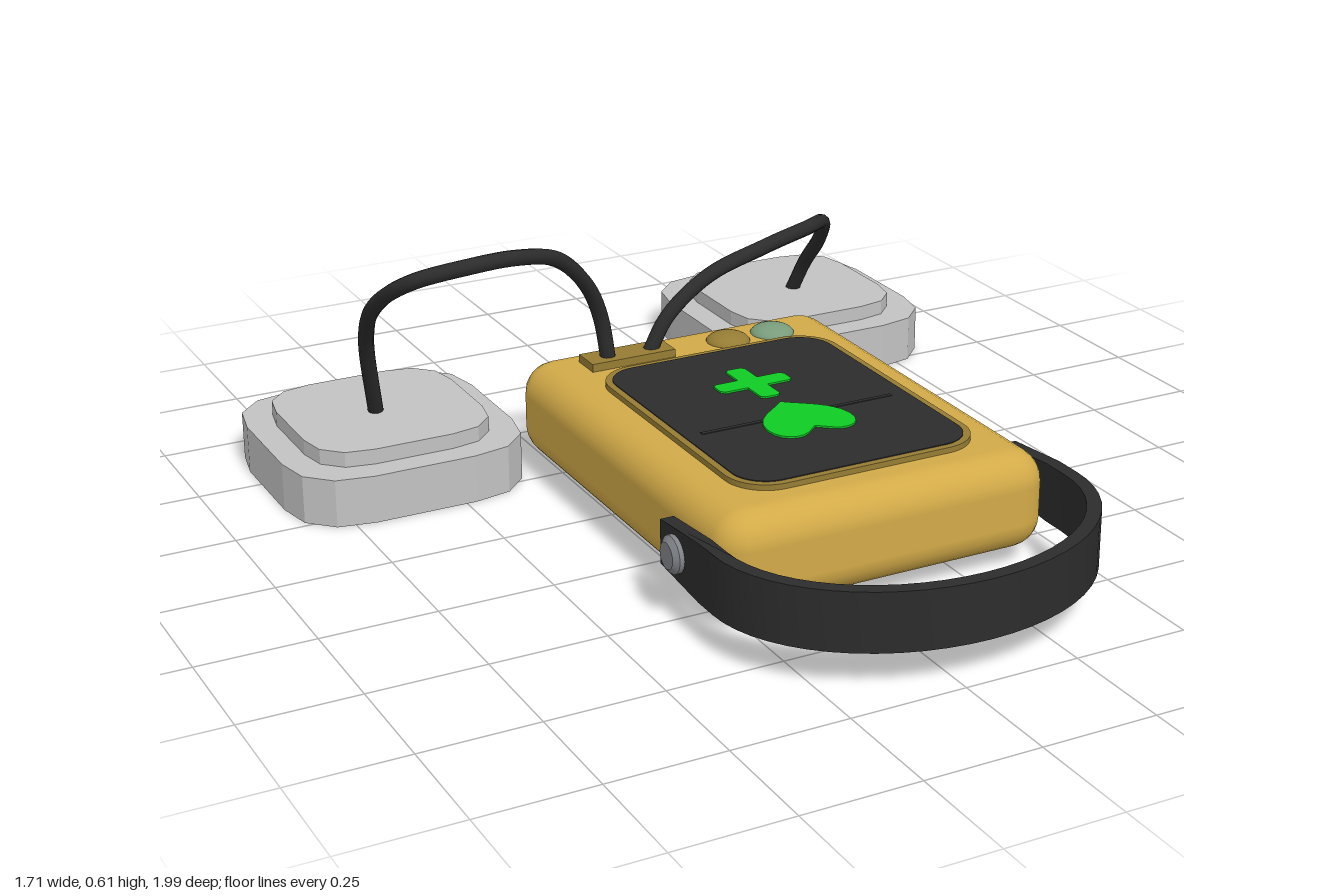
import * as THREE from 'three';
import { toCreasedNormals } from 'three/addons/utils/BufferGeometryUtils.js';
import { RoundedBoxGeometry } from 'three/addons/geometries/RoundedBoxGeometry.js';

const material = (name, color) => {
  const m = new THREE.MeshStandardMaterial({ color });
  m.name = name;
  return m;
};

export function createModel() {
  const yellow = material('casing yellow', 0xd2aa48);
  const olive = material('trim olive', 0x967c34);
  const black = material('rubber black', 0x2c2c2c);
  const green = material('symbol green', 0x10cc24);
  const sage = material('button sage', 0x7a9c7c);
  const grey = material('pad grey', 0xc2c2c2);
  const steel = material('pivot grey', 0x808388);
  const model = new THREE.Group();
  model.name = 'defibrillator';

  const add = (name, geometry, mat, x = 0, y = 0, z = 0, parent = model) => {
    const mesh = new THREE.Mesh(geometry, mat);
    mesh.name = name;
    mesh.position.set(x, y, z);
    parent.add(mesh);
    return mesh;
  };
  // Upright slab from an outline; outline y points to the back
  const slab = (shape, height) =>
    new THREE.ExtrudeGeometry(shape, { depth: height, bevelEnabled: false, curveSegments: 6 }).rotateX(-Math.PI / 2);
  const outline = (points) => new THREE.Shape(points.map(([x, y]) => new THREE.Vector2(x, y)));
  const roundedRect = (w, d, r) => {
    const s = new THREE.Shape();
    const a = w / 2, b = d / 2;
    s.moveTo(-a + r, -b);
    s.lineTo(a - r, -b);
    s.absarc(a - r, -b + r, r, -Math.PI / 2, 0);
    s.lineTo(a, b - r);
    s.absarc(a - r, b - r, r, 0, Math.PI / 2);
    s.lineTo(-a + r, b);
    s.absarc(-a + r, b - r, r, Math.PI / 2, Math.PI);
    s.lineTo(-a, -b + r);
    s.absarc(-a + r, -b + r, r, Math.PI, Math.PI * 1.5);
    return s;
  };

  // Casing, screen and symbols, all centred on x = 0.06
  const cx = 0.06;
  add('casing', new RoundedBoxGeometry(0.75, 0.215, 0.99, 3, 0.07), yellow, cx, 0.1425, 0.145);
  add('screenFrame', slab(roundedRect(0.555, 0.7, 0.09), 0.02), olive, cx, 0.242, 0.19);
  add('screen', slab(roundedRect(0.525, 0.67, 0.075), 0.003), black, cx, 0.261, 0.19);
  add('screenLine', new THREE.BoxGeometry(0.45, 0.002, 0.01), black, cx, 0.2645, 0.25);
  const a = 0.085, t = 0.023, c = 0.008;
  const cross = [];
  for (let i = 0; i < 4; i++) {
    const co = Math.round(Math.cos(i * Math.PI / 2)), si = Math.round(Math.sin(i * Math.PI / 2));
    for (const [x, y] of [[t, -t], [a - c, -t], [a, -t + c], [a, t - c], [a - c, t]])
      cross.push([x * co - y * si, x * si + y * co]);
  }
  add('crossSymbol', slab(outline(cross), 0.005), green, 0.057, 0.263, 0.06);
  const heart = new THREE.Shape();
  heart.moveTo(0, 0.09);
  heart.bezierCurveTo(0.03, 0.06, 0.095, 0.035, 0.098, -0.03);
  heart.bezierCurveTo(0.1, -0.085, 0.055, -0.1, 0.03, -0.08);
  heart.lineTo(0, -0.055);
  heart.lineTo(-0.03, -0.08);
  heart.bezierCurveTo(-0.055, -0.1, -0.1, -0.085, -0.098, -0.03);
  heart.bezierCurveTo(-0.095, 0.035, -0.03, 0.06, 0, 0.09);
  add('heartSymbol', slab(heart, 0.005), green, 0.057, 0.263, 0.272);

  // Cable socket and two domed buttons
  add('cableSocket', new THREE.BoxGeometry(0.2, 0.03, 0.07), olive, -0.1, 0.253, -0.225);
  [[0.15, olive], [0.262, sage]].forEach(([x, mat]) => {
    const dome = new THREE.SphereGeometry(0.05, 20, 6, 0, Math.PI * 2, 0, Math.PI / 2).scale(1, 0.44, 1);
    add('button', dome, mat, x, 0.248, -0.225);
  });

  // Carrying strap: U-shaped band, slightly narrower at its ends
  const side = (rx, rz) => {
    const pts = [[rx, -0.44], [rx, -0.6]];
    for (let i = 0; i <= 28; i++) {
      const th = i / 28 * Math.PI;
      pts.push([rx * Math.cos(th), -0.66 - rz * Math.sin(th)]);
    }
    pts.push([-rx, -0.6], [-rx, -0.44]);
    return pts;
  };
  const strap = slab(outline([...side(0.415, 0.33), ...side(0.385, 0.3).reverse()]), 0.126);
  const p = strap.attributes.position;
  for (let i = 0; i < p.count; i++) {
    const k = Math.min(1, 0.76 + 0.24 * (p.getZ(i) - 0.44) / 0.16);
    p.setY(i, 0.145 + (p.getY(i) - 0.063) * k);
  }
  add('strap', toCreasedNormals(strap, 0.6), black, cx);
  for (const s of [-1, 1]) {
    const pin = new THREE.CylinderGeometry(0.04, 0.04, 0.1, 16).rotateZ(Math.PI / 2);
    add('strapPivot', pin, steel, cx + s * 0.375, 0.145, 0.505);
    const cap = new THREE.CylinderGeometry(0.028, 0.04, 0.01, 16).rotateZ(-s * Math.PI / 2);
    add('strapPivotCap', cap, steel, cx + s * 0.43, 0.145, 0.505);
  }

  // Shock pads: sixteen-sided squares, hollow underneath, with a raised top
  const padPoints = (h) => {
    const pts = [];
    for (let i = 0; i < 4; i++) {
      const co = Math.round(Math.cos(i * Math.PI / 2)), si = Math.round(Math.sin(i * Math.PI / 2));
      for (const [x, y] of [[1, -0.43], [1, 0.43], [0.94, 0.74], [0.74, 0.94]])
        pts.push([h * (x * co - y * si), h * (x * si + y * co)]);
    }
    return pts;
  };
  for (const [x, z] of [[-0.592, -0.463], [0.589, -0.734]]) {
    const pad = new THREE.Group();
    pad.name = 'shockPad';
    pad.position.set(x, 0, z);
    model.add(pad);
    const rim = outline(padPoints(0.267));
    rim.holes.push(outline(padPoints(0.235)));
    add('padRim', slab(rim, 0.035), grey, 0, 0, 0, pad);
    add('padBase', slab(outline(padPoints(0.267)), 0.072), grey, 0, 0.035, 0, pad);
    add('padTop', slab(outline(padPoints(0.207)), 0.035), grey, 0, 0.106, 0, pad);
  }

  // Cables from the socket to each pad
  const cables = [
    [[-0.145, 0.25, -0.225], [-0.165, 0.36, -0.22], [-0.21, 0.45, -0.19], [-0.3, 0.54, -0.14],
      [-0.42, 0.582, -0.08], [-0.54, 0.588, -0.057], [-0.64, 0.56, -0.1], [-0.675, 0.48, -0.22],
      [-0.655, 0.36, -0.35], [-0.6, 0.13, -0.463]],
    [[-0.05, 0.25, -0.225], [0, 0.335, -0.225], [0.1, 0.41, -0.227], [0.25, 0.445, -0.25],
      [0.4, 0.443, -0.325], [0.52, 0.405, -0.45], [0.585, 0.31, -0.58], [0.605, 0.22, -0.68],
      [0.6, 0.13, -0.735]],
  ];
  for (const points of cables) {
    const curve = new THREE.CatmullRomCurve3(points.map((q) => new THREE.Vector3(...q)));
    add('cable', new THREE.TubeGeometry(curve, 60, 0.017, 10), black);
    for (const q of [points[0], points[points.length - 1]])
      add('cableEnd', new THREE.SphereGeometry(0.018, 10, 8), black, ...q);
  }
  return model;
}
